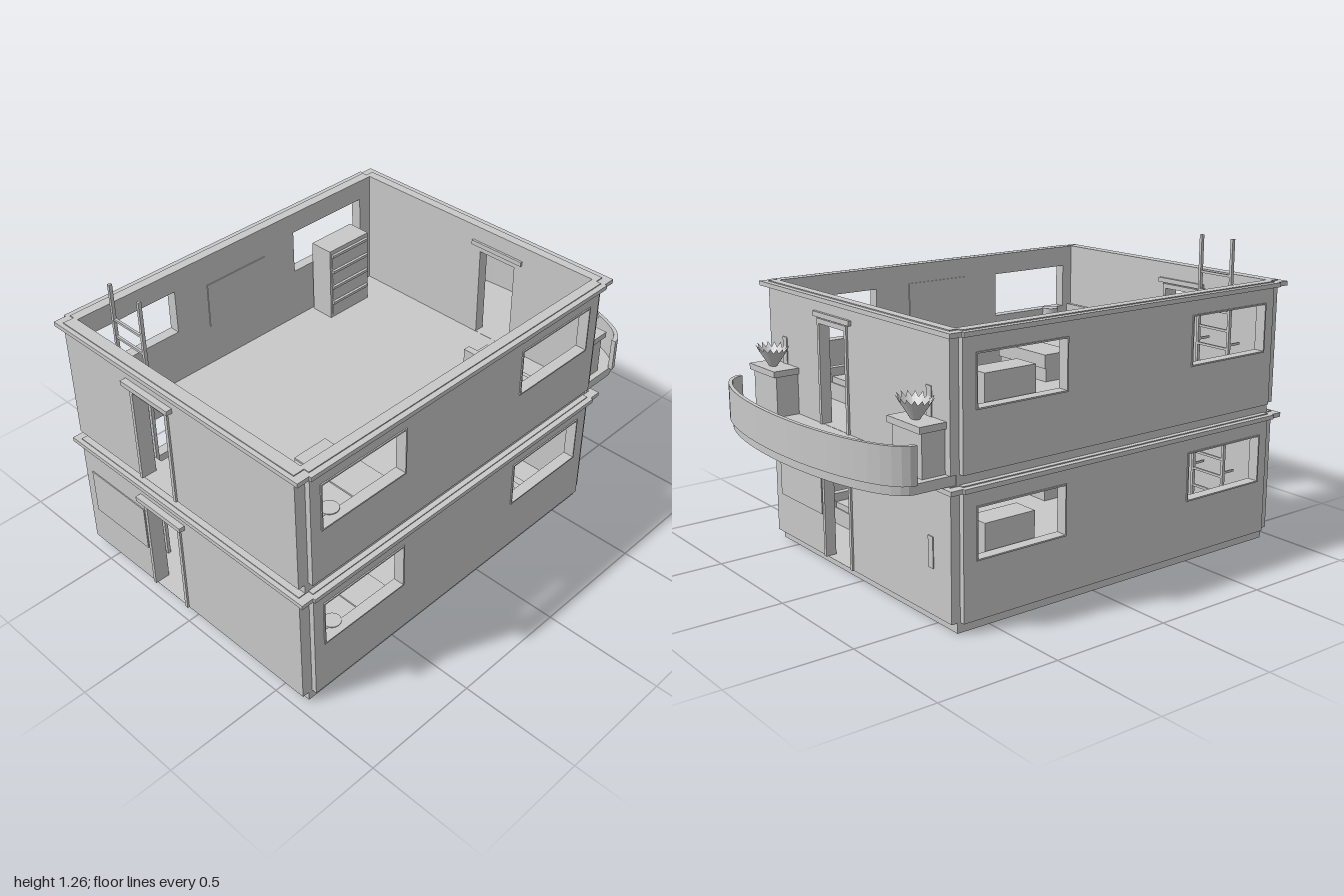
import * as THREE from 'three';

const grey = new THREE.MeshStandardMaterial({ color: 0xc8c8c8, side: THREE.DoubleSide });
grey.name = 'plain grey';

function add(parent, name, geometry) {
  const m = new THREE.Mesh(geometry, grey);
  m.name = name;
  parent.add(m);
  return m;
}

function group(parent, name, y = 0) {
  const g = new THREE.Group();
  g.name = name;
  g.position.y = y;
  parent.add(g);
  return g;
}

// Box given by its lower and upper limits on each axis
function box(parent, name, x0, x1, y0, y1, z0, z1) {
  const m = add(parent, name, new THREE.BoxGeometry(x1 - x0, y1 - y0, z1 - z0));
  m.position.set((x0 + x1) / 2, (y0 + y1) / 2, (z0 + z1) / 2);
  return m;
}

// Flat panel [u0, u1, v0, v1] with rectangular holes
function panel(parent, name, rect, holes, depth) {
  const corners = ([a, b, c, d]) => [[a, c], [b, c], [b, d], [a, d]].map(p => new THREE.Vector2(...p));
  const shape = new THREE.Shape(corners(rect));
  for (const h of holes) shape.holes.push(new THREE.Path(corners(h).reverse()));
  return add(parent, name, new THREE.ExtrudeGeometry(shape, { depth, bevelEnabled: false }));
}

// Panel laid flat with its upper face at height y
function layer(parent, name, rect, holes, y, depth) {
  const m = panel(parent, name, rect, holes, depth);
  m.rotation.x = Math.PI / 2;
  m.position.y = y;
}

const grow = ([a, b, c, d], e) => [a - e, b + e, c - e, d + e];
const FLOOR = 0.04, TOP = 0.552;
const windows = [[0.473, 0.875, 0.272, 0.463], [-0.568, -0.168, 0.272, 0.463]];
const room = [-0.6, 0.6, -0.63, 0.925];
const chestSpot = [-0.59, -0.482, -0.497, -0.267];
const hatch = [-0.555, -0.25, 0.555, 0.87];

// Door surround and lintel running through the wall between z0 and z1
function doorTrim(parent, x0, x1, z0, z1) {
  for (const [a, b] of [[x0 - 0.015, x0], [x1, x1 + 0.015]])
    box(parent, 'doorJamb', a, b, FLOOR, 0.46, z0 - 0.008, z1 + 0.008);
  box(parent, 'doorHead', x0, x1, 0.44, 0.46, z0 - 0.008, z1 + 0.008);
  box(parent, 'doorLintel', x0 - 0.04, x1 + 0.04, 0.465, 0.485, z0 - 0.012, z1 + 0.025);
}

function shell(parent, holes) {
  // Hollow plinth with a thin floor on top
  layer(parent, 'plinth', [-0.62, 0.62, -0.642, 0.945], [room], FLOOR, FLOOR);
  layer(parent, 'floor', room, holes, FLOOR, 0.006);

  // Front and back walls with their doors
  const wallRect = [-0.62, 0.62, FLOOR, TOP];
  panel(parent, 'frontWall', wallRect, [[-0.22, -0.04, FLOOR + 0.001, 0.44]], 0.049).position.z = 0.925;
  panel(parent, 'backWall', wallRect, [[0.04, 0.22, FLOOR + 0.001, 0.44]], 0.038).position.z = -0.668;
  doorTrim(parent, -0.22, -0.04, 0.925, 0.974);
  doorTrim(parent, 0.04, 0.22, -0.668, -0.645);

  // Side walls, windows and cornices
  for (const s of [-1, 1]) {
    const wall = panel(parent, 'sideWall', [-0.63, 0.928, FLOOR, TOP], windows, 0.042);
    wall.rotation.y = -Math.PI / 2;
    wall.position.x = s > 0 ? 0.642 : -0.6;
    for (const w of windows) {
      const frame = panel(parent, 'windowFrame', grow(w, 0.006), [w], 0.005);
      frame.rotation.y = -Math.PI / 2;
      frame.position.x = s > 0 ? 0.647 : -0.642;
    }
    const a = s * 0.605, b = s * 0.665;
    box(parent, 'sideCornice', Math.min(a, b), Math.max(a, b), 0.53, 0.548, -0.64, 0.94);
    const y = s > 0 ? 0.27 : 0.22;
    box(parent, 'wallPicture', s * 0.6 - 0.004, s * 0.6 + 0.004, y, y + 0.2, 0, 0.31);
  }
  box(parent, 'frontCornice', -0.655, 0.655, 0.53, 0.548, 0.93, 0.992);
  box(parent, 'backCornice', -0.655, 0.655, 0.53, 0.548, -0.692, -0.635);
}

function bed(parent) {
  const g = group(parent, 'bed', FLOOR);
  box(g, 'bedBase', 0.21, 0.53, 0, 0.07, 0.45, 0.845);
  box(g, 'mattress', 0.215, 0.525, 0.07, 0.115, 0.45, 0.845);
  box(g, 'blanket', 0.208, 0.532, 0.06, 0.122, 0.442, 0.6);
  box(g, 'headboard', 0.205, 0.535, 0, 0.255, 0.845, 0.865);
  for (const x of [0.225, 0.38]) box(g, 'pillow', x, x + 0.13, 0.115, 0.142, 0.745, 0.825);
  // Bedside tables with drum lamps
  for (const x of [0.15, 0.585]) {
    box(g, 'bedsideTable', x - 0.04, Math.min(x + 0.04, 0.605), 0, 0.135, 0.745, 0.83);
    add(g, 'lampStem', new THREE.CylinderGeometry(0.016, 0.016, 0.06, 12)).position.set(x, 0.163, 0.787);
    add(g, 'lampShade', new THREE.CylinderGeometry(0.036, 0.036, 0.045, 16)).position.set(x, 0.213, 0.787);
  }
}

function sofa(parent) {
  const g = group(parent, 'sofa', FLOOR);
  box(g, 'sofaBase', 0.255, 0.57, 0, 0.07, -0.44, -0.295);
  box(g, 'sofaBack', 0.255, 0.57, 0.07, 0.18, -0.325, -0.295);
  for (const x of [0.255, 0.54]) box(g, 'sofaArm', x, x + 0.03, 0.07, 0.13, -0.44, -0.325);
  for (const x of [0.29, 0.425]) box(g, 'sofaCushion', x, x + 0.11, 0.07, 0.095, -0.435, -0.33);
}

// Tall hollow chest, open underneath, with four drawer fronts
function chest(parent) {
  const g = group(parent, 'chest', FLOOR);
  const [x0, x1, z0, z1] = chestSpot;
  for (const x of [x0, x1 - 0.005]) box(g, 'chestPanel', x, x + 0.005, 0, 0.332, z0, z1);
  for (const z of [z0, z1 - 0.005]) box(g, 'chestSide', x0, x1, 0, 0.332, z, z + 0.005);
  box(g, 'chestTop', x0, x1, 0.326, 0.334, z0, z1);
  for (let i = 0; i < 4; i++) {
    const y = 0.015 + i * 0.078;
    box(g, 'drawerFront', x1, x1 + 0.004, y, y + 0.066, z0 + 0.01, z1 - 0.01);
    box(g, 'drawerLip', x1, x1 + 0.012, y + 0.054, y + 0.066, z0 + 0.01, z1 - 0.01);
  }
}

function ladder(parent) {
  const g = group(parent, 'ladder');
  for (const x of [-0.5, -0.33]) {
    box(g, 'ladderRail', x, x + 0.012, FLOOR, 0.713, 0.828, 0.842);
    box(g, 'ladderBracket', x + 0.003, x + 0.009, 0.27, 0.28, 0.835, 0.9);
  }
  for (let i = 0; i < 7; i++) {
    const y = 0.1 + i * 0.076;
    box(g, 'ladderRung', -0.49, -0.33, y, y + 0.01, 0.83, 0.84);
  }
}

function planter(parent, x) {
  const g = group(parent, 'planter');
  g.position.x = x;
  box(g, 'planterBox', -0.09, 0.09, 0.59, 0.757, -0.765, -0.668);
  box(g, 'planterCap', -0.1, 0.1, 0.755, 0.78, -0.78, -0.668);
  // Pleated bowl of leaves: every other rim corner is pulled in and down
  const n = 32;
  const geo = new THREE.CylinderGeometry(0.062, 0.015, 0.082, n, 1, true);
  const p = geo.attributes.position;
  for (let i = 1; i <= n; i += 2) p.setXYZ(i, p.getX(i) * 0.82, p.getY(i) - 0.02, p.getZ(i) * 0.82);
  const flat = geo.toNonIndexed();
  flat.computeVertexNormals();
  const leaves = add(g, 'leaves', flat);
  leaves.scale.x = 1.4;
  leaves.position.set(0, 0.822, -0.728);
}

function balcony(parent) {
  const g = group(parent, 'balcony');
  const arc = (rx, rz, n = 24) => Array.from({ length: n + 1 }, (_, i) => {
    const t = Math.PI * i / n;
    return new THREE.Vector2(rx * Math.cos(t), -0.81 - rz * Math.sin(t));
  });
  const slab = (name, points, top, depth) => {
    const m = add(g, name, new THREE.ExtrudeGeometry(new THREE.Shape(points), { depth, bevelEnabled: false }));
    m.rotation.x = Math.PI / 2;
    m.position.y = top;
  };
  const wallEdge = [new THREE.Vector2(-0.615, -0.64), new THREE.Vector2(0.615, -0.64)];
  slab('balconyFloor', [...wallEdge, ...arc(0.615, 0.178)], 0.59, 0.038);
  slab('balconyParapet', [...arc(0.63, 0.19), ...arc(0.61, 0.174).reverse()], 0.73, 0.142);
  for (const x of [-0.5, 0.5]) planter(g, x);
}

export function createModel() {
  const model = new THREE.Group();
  model.name = 'twoStoreyHouse';
  for (const level of [0, 1]) {
    const storey = group(model, level ? 'upperStorey' : 'lowerStorey', level * 0.55);
    shell(storey, level ? [hatch] : [chestSpot]);
    bed(storey);
    sofa(storey);
    chest(storey);
    ladder(storey);
    // Narrow wall plates beside the back door
    for (const x of level ? [-0.5, 0.5] : [-0.5])
      box(storey, 'narrowPlate', x - 0.015, x + 0.015, 0.22, 0.34, -0.672, -0.666);
  }
  // Ground floor wall plates
  box(model, 'frontPlate', -0.575, -0.25, 0.21, 0.41, 0.97, 0.978);
  box(model, 'backPlate', 0.25, 0.575, 0.21, 0.41, -0.672, -0.666);
  balcony(model);
  return model;
}
